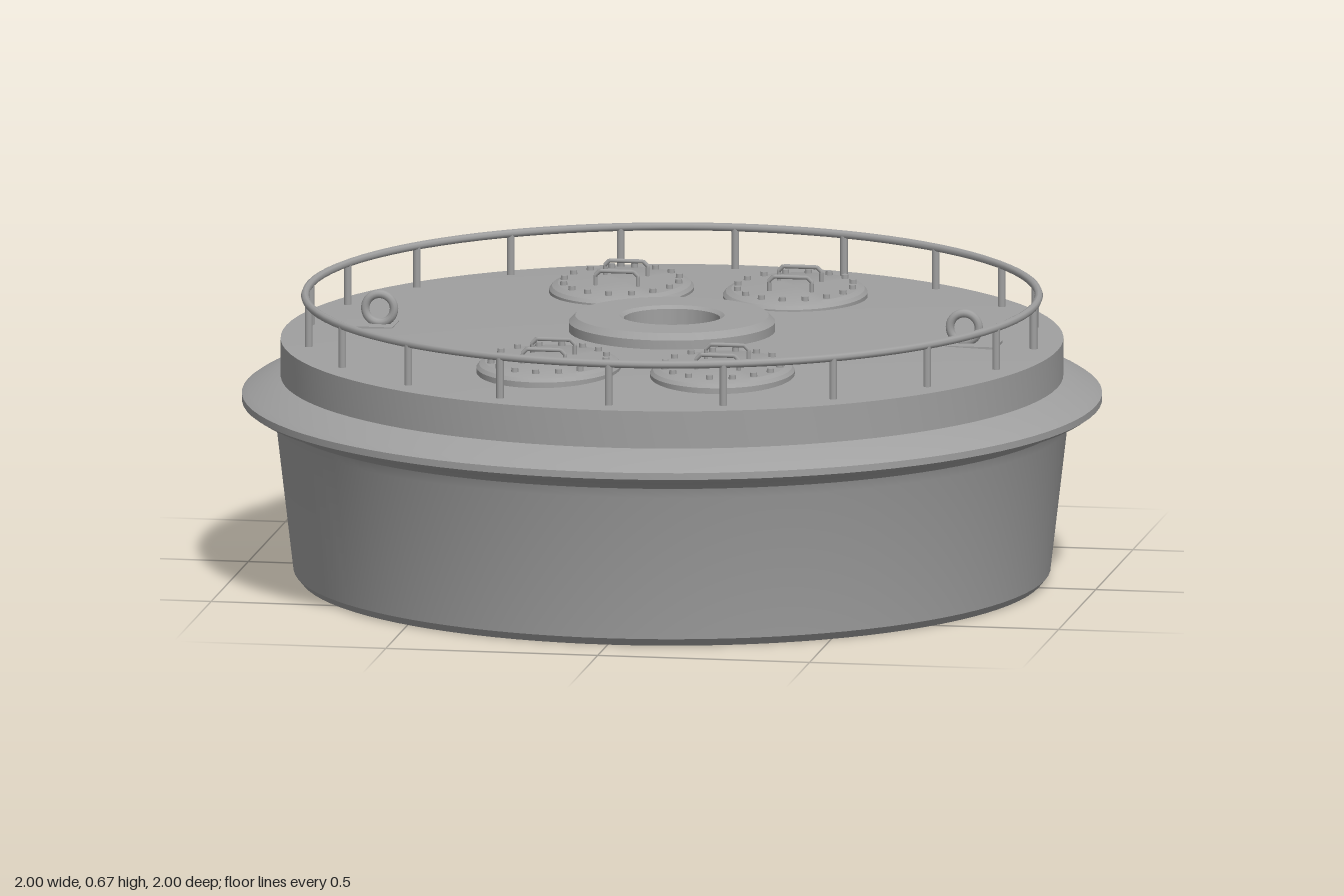
import * as THREE from 'three';
import { toCreasedNormals } from 'three/addons/utils/BufferGeometryUtils.js';

const steel = new THREE.MeshStandardMaterial({ color: 0xa0a0a0 });
steel.name = 'grey steel';

const deckY = (r) => 0.582 - 0.019 * (r / 0.91) ** 2; // gently crowned deck

function add(parent, name, geometry, x = 0, y = 0, z = 0) {
  const mesh = new THREE.Mesh(geometry, steel);
  mesh.name = name;
  mesh.position.set(x, y, z);
  parent.add(mesh);
  return mesh;
}

function lathe(points, segments) {
  const profile = points.map(([r, y]) => new THREE.Vector2(r, y));
  return toCreasedNormals(new THREE.LatheGeometry(profile, segments), 0.35);
}

// Oval access cover with bolts round the edge and two grab handles
function makeHatch() {
  const hatch = new THREE.Group();
  hatch.name = 'hatch';
  const cover = lathe([[1, -0.025], [1, 0.006], [0.96, 0.014], [0.88, 0.02], [0, 0.024]], 48);
  cover.scale(0.167, 1, 0.212);
  cover.computeVertexNormals();
  add(hatch, 'hatchCover', toCreasedNormals(cover, 0.35));
  for (let i = 0; i < 16; i++) {
    const a = (i / 16) * Math.PI * 2;
    add(hatch, 'hatchBolt', new THREE.CylinderGeometry(0.008, 0.009, 0.014, 8),
      Math.cos(a) * 0.135, 0.023, Math.sin(a) * 0.175);
  }
  const path = new THREE.CurvePath();
  const pts = [[-0.05, 0.01], [-0.05, 0.046], [-0.04, 0.056], [0.04, 0.056], [0.05, 0.046], [0.05, 0.01]]
    .map(([x, y]) => new THREE.Vector3(x, y, 0));
  for (let i = 0; i < 5; i++) path.add(new THREE.LineCurve3(pts[i], pts[i + 1]));
  const handle = new THREE.TubeGeometry(path, 40, 0.005, 8);
  for (const z of [-0.065, 0.065]) add(hatch, 'hatchHandle', handle, 0, 0, z);
  return hatch;
}

export function createModel() {
  const model = new THREE.Group();
  model.name = 'mooringBuoy';

  // Hull, fender flange, deck, collar and through-bore in one revolved profile
  const profile = [
    [0.112, 0], [0.865, 0], [0.88, 0.018], [0.92, 0.36], [0.928, 0.383], [0.95, 0.398],
    [0.985, 0.408], [1, 0.418], [1, 0.434], [0.985, 0.444], [0.93, 0.468], [0.91, 0.475],
    [0.91, deckY(0.91)],
  ];
  for (const r of [0.8, 0.65, 0.5, 0.35, 0.24]) profile.push([r, deckY(r)]);
  profile.push([0.24, 0.602], [0.225, 0.617], [0.122, 0.617], [0.112, 0.61], [0.112, 0]);
  add(model, 'hull', lathe(profile, 96));

  // Guard rail and its posts
  const rail = add(model, 'guardRail', new THREE.TorusGeometry(0.853, 0.0095, 8, 96), 0, 0.663, 0);
  rail.rotation.x = Math.PI / 2;
  const post = new THREE.CylinderGeometry(0.009, 0.009, 0.1, 10);
  for (let i = 0; i < 20; i++) {
    const a = (i / 20) * Math.PI * 2;
    add(model, 'railPost', post, Math.sin(a) * 0.853, 0.612, Math.cos(a) * 0.853);
  }

  // Four oval hatches
  for (const x of [-0.205, 0.205]) {
    for (const z of [-0.49, 0.49]) {
      const hatch = makeHatch();
      hatch.position.set(x, 0.577, z);
      model.add(hatch);
    }
  }

  // Lifting eyes on base plates, left and right
  for (const side of [-1, 1]) {
    const lug = new THREE.Group();
    lug.name = 'liftingEye';
    add(lug, 'eyePlate', new THREE.BoxGeometry(0.12, 0.02, 0.09), side * 0.712, 0.564, 0);
    add(lug, 'eyeRing', new THREE.TorusGeometry(0.034, 0.01, 10, 32), side * 0.69, 0.61, 0);
    model.add(lug);
  }
  return model;
}
